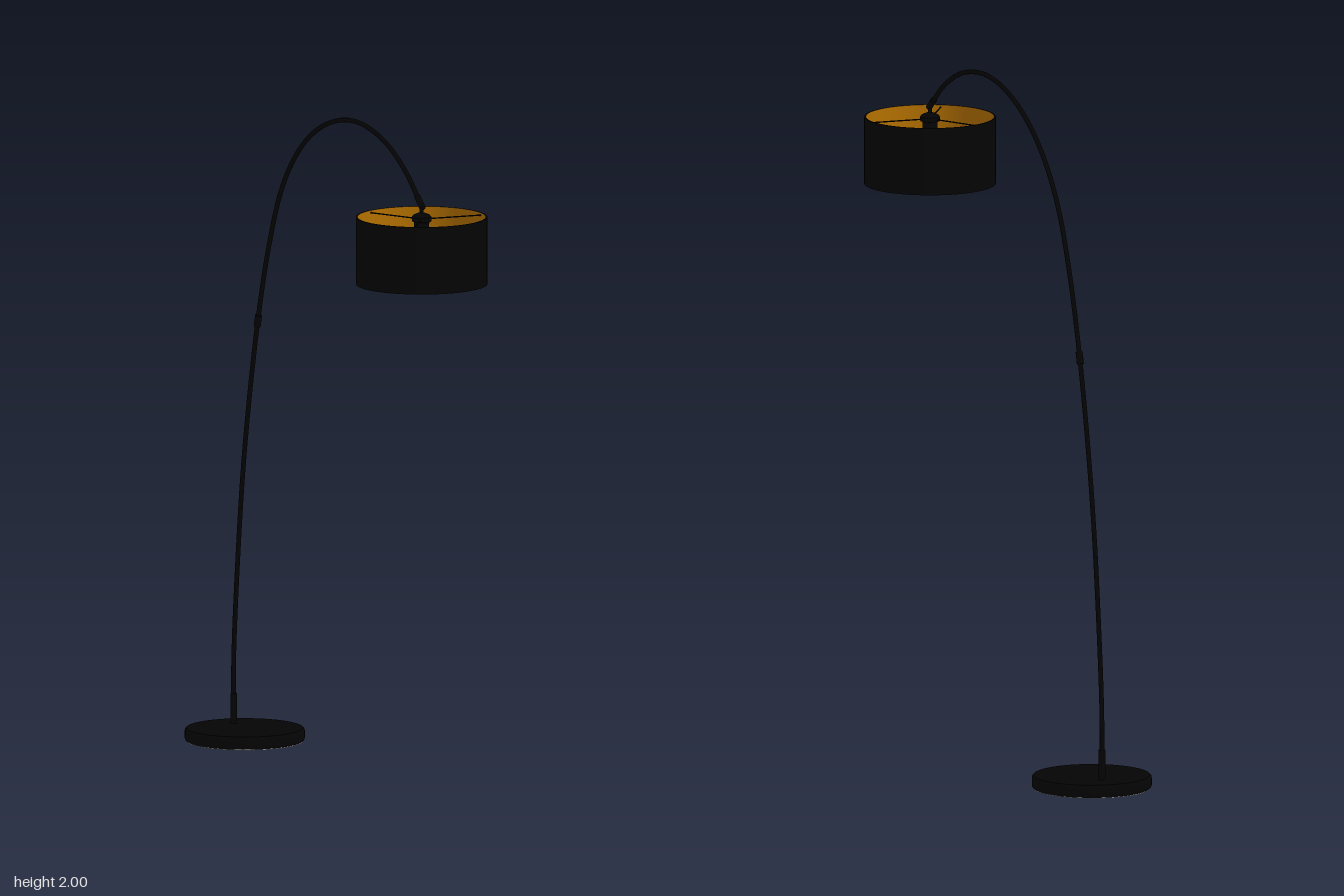
import * as THREE from 'three';
import { toCreasedNormals } from 'three/addons/utils/BufferGeometryUtils.js';

const black = new THREE.MeshStandardMaterial({ name: 'black metal', color: 0x040404 });
const gold = new THREE.MeshStandardMaterial({ name: 'gold lining', color: 0xb37000 });
const grey = new THREE.MeshStandardMaterial({ name: 'pale felt', color: 0xd3d3d3 });
const white = new THREE.MeshStandardMaterial({ name: 'white glass', color: 0xe4e4e4 });

const SHADE_Z = 0.68, BASE_Z = -0.698, POLE_Z = -0.785;

export function createModel() {
  const model = new THREE.Group();
  model.name = 'arcFloorLamp';

  const add = (parent, name, geometry, material, x = 0, y = 0, z = 0) => {
    const mesh = new THREE.Mesh(geometry, material);
    mesh.name = name;
    mesh.position.set(x, y, z);
    parent.add(mesh);
    return mesh;
  };
  const lathe = (points, segments = 64) => toCreasedNormals(
    new THREE.LatheGeometry(points.map(([r, y]) => new THREE.Vector2(r, y)), segments), 0.6);

  // Heavy round base with softened edges and a felt underside
  add(model, 'base', lathe([
    [0.173, 0.002], [0.177, 0.006], [0.178, 0.01], [0.178, 0.032],
    [0.177, 0.036], [0.173, 0.04], [0, 0.04],
  ]), black, 0, 0, BASE_Z);
  add(model, 'baseFelt', lathe([[0, 0], [0.173, 0], [0.173, 0.002]]), grey, 0, 0, BASE_Z);

  // Arched pole, as [z, y] along its centre line
  const path = new THREE.CatmullRomCurve3([
    [POLE_Z, 0.04], [-0.784, 0.23], [-0.758, 0.493], [-0.701, 0.864], [-0.596, 1.278],
    [-0.507, 1.522], [-0.414, 1.697], [-0.297, 1.822], [-0.154, 1.913], [0.02, 1.973],
    [0.2, 1.993], [0.4, 1.965], [0.562, 1.898], [SHADE_Z, 1.816],
  ].map(([z, y]) => new THREE.Vector3(0, y, z)), false, 'centripetal');
  add(model, 'pole', new THREE.TubeGeometry(path, 120, 0.007, 12), black);

  // Sleeves: at the foot, at the pole joint and at the tip
  const sleeve = (name, a, b, radius) => {
    const from = new THREE.Vector3(0, a[1], a[0]);
    const dir = new THREE.Vector3(0, b[1], b[0]).sub(from);
    const mesh = add(model, name, new THREE.CylinderGeometry(radius, radius, dir.length(), 20), black);
    mesh.position.copy(from).addScaledVector(dir, 0.5);
    mesh.quaternion.setFromUnitVectors(new THREE.Vector3(0, 1, 0), dir.normalize());
  };
  sleeve('footSleeve', [POLE_Z, 0.04], [POLE_Z, 0.13], 0.0098);
  sleeve('jointSleeve', [-0.601, 1.261], [-0.59, 1.296], 0.0105);
  sleeve('tipSleeve', [0.648, 1.84], [0.687, 1.812], 0.0095);

  // Lamp head hanging from the tip
  const head = new THREE.Group();
  head.name = 'lampHead';
  head.position.z = SHADE_Z;
  model.add(head);

  add(head, 'stem', new THREE.CylinderGeometry(0.006, 0.006, 0.03, 12), black, 0, 1.803, 0);
  add(head, 'socket', lathe([
    [0, 1.74], [0.021, 1.74], [0.023, 1.77], [0.029, 1.772], [0.029, 1.785],
    [0.024, 1.791], [0.012, 1.796], [0, 1.798],
  ], 32), black);
  add(head, 'bulb', lathe([
    [0, 1.676], [0.012, 1.679], [0.022, 1.688], [0.026, 1.702],
    [0.024, 1.716], [0.018, 1.729], [0.015, 1.741],
  ], 32), white);

  // Drum shade: black outside and rims, gold inside
  const R = 0.195, r = 0.19, low = 1.583, high = 1.785;
  add(head, 'shade', lathe([[r, low], [R, low], [R, high], [r, high]], 72), black);
  add(head, 'shadeLining', lathe([[r, high], [r, low]], 72), gold);

  // Three spokes carrying the shade
  for (let i = 0; i < 3; i++) {
    const spoke = new THREE.Group();
    spoke.name = 'spoke' + (i + 1);
    spoke.rotation.y = i * Math.PI * 2 / 3;
    head.add(spoke);
    const rod = add(spoke, 'spokeRod', new THREE.CylinderGeometry(0.002, 0.002, 0.173, 8), black, 0.1065, 1.778, 0);
    rod.rotation.z = Math.PI / 2;
  }

  return model;
}
